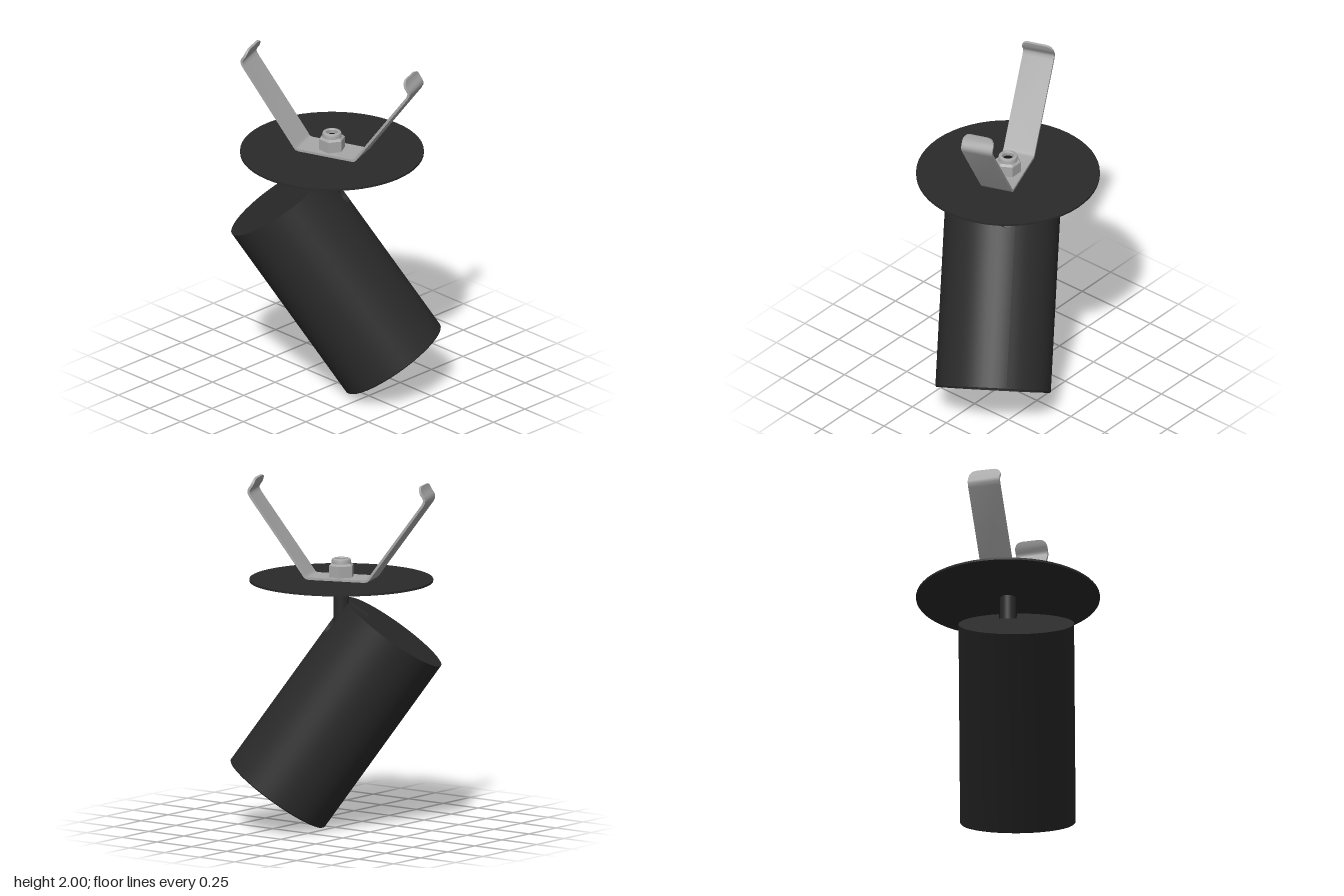
import * as THREE from 'three';
import { toCreasedNormals } from 'three/addons/utils/BufferGeometryUtils.js';

const black = new THREE.MeshStandardMaterial({ color: 0x2a2a2a, side: THREE.DoubleSide });
black.name = 'matte black';
const deepBlack = new THREE.MeshStandardMaterial({ color: 0x161616 });
deepBlack.name = 'deep black';
const steel = new THREE.MeshStandardMaterial({ color: 0xa8a8a8 });
steel.name = 'bare steel';

const R = 0.327, L = 1.145;                     // lamp body radius and length
const SLOT_X = 0.05, SLOT_W = 0.05, SLOT_T = 0.18, SLOT_Z = 0.17;
const AXIS_Z = -0.045;                          // centre line of the mount

function add(parent, name, geometry, material, x = 0, y = 0, z = 0) {
  const mesh = new THREE.Mesh(geometry, material);
  mesh.name = name;
  mesh.position.set(x, y, z);
  parent.add(mesh);
  return mesh;
}

const lathe = (pts, seg, start, len) =>
  new THREE.LatheGeometry(pts.map(p => new THREE.Vector2(...p)), seg, start, len);

// Tubular wall with recessed mouth; the top edge dips to follow the slot
function shell(start, len, seg, dip) {
  const g = lathe([[0.29, -L + 0.13], [0.293, -L + 0.012], [0.305, -L + 0.008],
    [0.308, -L], [0.322, -L], [R, -L + 0.006], [R, 0]], seg, start, len);
  const p = g.attributes.position;
  if (dip) for (let i = 0; i < p.count; i++) {
    if (Math.abs(p.getY(i)) > 1e-6) continue;
    const s = R * Math.atan2(p.getX(i), p.getZ(i)) - SLOT_X;
    p.setY(i, -SLOT_T - Math.sqrt(Math.max(0, SLOT_W ** 2 - s * s)));
  }
  return toCreasedNormals(g, 0.6);
}

// Inner side of the U-shaped slot
function slotLining() {
  const n = 14, g = new THREE.PlaneGeometry(1, 1, n, 1), p = g.attributes.position;
  for (let i = 0; i < p.count; i++) {
    const k = Math.round((p.getX(i) + 0.5) * n);
    const a = Math.PI * (1 - Math.min(1, Math.max(0, (k - 1) / (n - 2))));
    const x = SLOT_X + SLOT_W * Math.cos(a);
    const y = k === 0 || k === n ? 0 : -SLOT_T - SLOT_W * Math.sin(a);
    p.setXYZ(i, x, y, p.getY(i) > 0 ? Math.sqrt(R * R - x * x) : SLOT_Z);
  }
  return toCreasedNormals(g, 0.6);
}

// Round top with a notch where the rod enters
function capShape() {
  const x1 = SLOT_X + SLOT_W, x0 = SLOT_X - SLOT_W;
  const s = new THREE.Shape();
  s.moveTo(x0, -SLOT_Z);
  s.lineTo(x1, -SLOT_Z);
  s.absarc(0, 0, R, -Math.acos(x1 / R), 1.5 * Math.PI, false);
  s.closePath();
  return s;
}

// Honeycomb louvre
function honeycomb() {
  const s = new THREE.Shape().absarc(0, 0, 0.291, 0, Math.PI * 2);
  const pitch = 0.056, r = 0.028;
  for (let j = -5; j <= 5; j++) for (let i = -5; i <= 5; i++) {
    const x = (i + (j & 1 ? 0.5 : 0)) * pitch, y = j * pitch * 0.866;
    if (Math.hypot(x, y) > 0.245) continue;
    const pts = [];
    for (let k = 0; k < 6; k++) {
      const a = Math.PI / 6 - k * Math.PI / 3;
      pts.push(new THREE.Vector2(x + r * Math.cos(a), y + r * Math.sin(a)));
    }
    s.holes.push(new THREE.Path(pts));
  }
  return new THREE.ExtrudeGeometry(s, { depth: 0.02, bevelEnabled: false, curveSegments: 32 })
    .rotateX(Math.PI / 2);
}

// Sheet strip bent along a mirrored path, with rounded ends
function springStrip() {
  const half = [[0.165, 1.443], [0.18, 1.446], [0.19, 1.455], [0.2, 1.47], [0.51, 1.895],
    [0.52, 1.915], [0.521, 1.928], [0.515, 1.942], [0.502, 1.96], [0.496, 1.975],
    [0.492, 1.988], [0.49, 1.996], [0.489, 2]];
  const path = [...half.map(([z, y]) => [-z, y]).reverse(), ...half];
  const n = path.length - 1;
  const g = new THREE.BoxGeometry(1, 1, 1, 1, 1, n), p = g.attributes.position;
  for (let i = 0; i < p.count; i++) {
    const k = Math.round((p.getZ(i) + 0.5) * n), [z, y] = path[k];
    const a = path[Math.max(0, k - 1)], b = path[Math.min(n, k + 1)];
    const len = Math.hypot(b[0] - a[0], b[1] - a[1]);
    const off = Math.sign(p.getY(i)) * 0.007;
    const e = Math.max(0, 0.04 - (2 - y));
    const w = 0.053 + Math.sqrt(0.04 ** 2 - e * e);
    p.setXYZ(i, Math.sign(p.getX(i)) * w, y + off * (b[0] - a[0]) / len, z - off * (b[1] - a[1]) / len);
  }
  return toCreasedNormals(g, 0.7);
}

export function createModel() {
  const model = new THREE.Group();
  model.name = 'recessedSpotlight';

  // Tilted lamp body: origin at the top centre, y along its axis
  const lamp = new THREE.Group();
  lamp.name = 'lampBody';
  lamp.position.set(-0.21, 1.125, -0.26);
  lamp.rotation.set(-0.616, 0.603, 0, 'YXZ');
  model.add(lamp);
  const a0 = (SLOT_X - SLOT_W) / R, a1 = (SLOT_X + SLOT_W) / R;
  add(lamp, 'bodyWall', shell(a1, Math.PI * 2 - (a1 - a0), 56, false), black);
  add(lamp, 'slottedWall', shell(a0, a1 - a0, 12, true), black);
  add(lamp, 'slotLining', slotLining(), black);
  add(lamp, 'slotFloor', new THREE.PlaneGeometry(2 * SLOT_W, 0.24), black, SLOT_X, -0.12, SLOT_Z);
  add(lamp, 'topCap', new THREE.ShapeGeometry(capShape(), 56).rotateX(-Math.PI / 2), black);
  add(lamp, 'honeycombLouvre', honeycomb(), black, 0, -L + 0.12);
  add(lamp, 'lens', new THREE.CircleGeometry(0.291, 48).rotateX(Math.PI / 2), deepBlack, 0, -L + 0.122);

  // Ceiling plate and the rod that holds the lamp
  add(model, 'ceilingPlate', new THREE.CylinderGeometry(0.52, 0.52, 0.012, 56), black, 0, 1.43, AXIS_Z);
  add(model, 'rod', new THREE.CylinderGeometry(0.045, 0.045, 0.33, 32), black, 0, 1.265, AXIS_Z);

  // Spring clip
  add(model, 'springClip', springStrip(), steel, 0, 0, AXIS_Z).rotation.y = 0.352;

  // Lock nut with a rounded collar around the open rod end
  const nut = new THREE.Group();
  nut.name = 'lockNut';
  nut.position.set(0, 1.45, AXIS_Z);
  model.add(nut);
  add(nut, 'hexNut', toCreasedNormals(new THREE.CylinderGeometry(0.075, 0.075, 0.065, 6), 0.5), steel, 0, 0.0325);
  add(nut, 'nutChamfer', toCreasedNormals(new THREE.CylinderGeometry(0.062, 0.075, 0.012, 6), 0.3), steel, 0, 0.071);
  add(nut, 'nutCollar', toCreasedNormals(lathe([[0.055, 0.07], [0.055, 0.093], [0.052, 0.101],
    [0.046, 0.105], [0.036, 0.105], [0.031, 0.1], [0.031, 0.076]], 32), 0.6), steel);
  add(nut, 'rodEnd', new THREE.CylinderGeometry(0.031, 0.031, 0.01, 32), deepBlack, 0, 0.075);

  return model;
}
